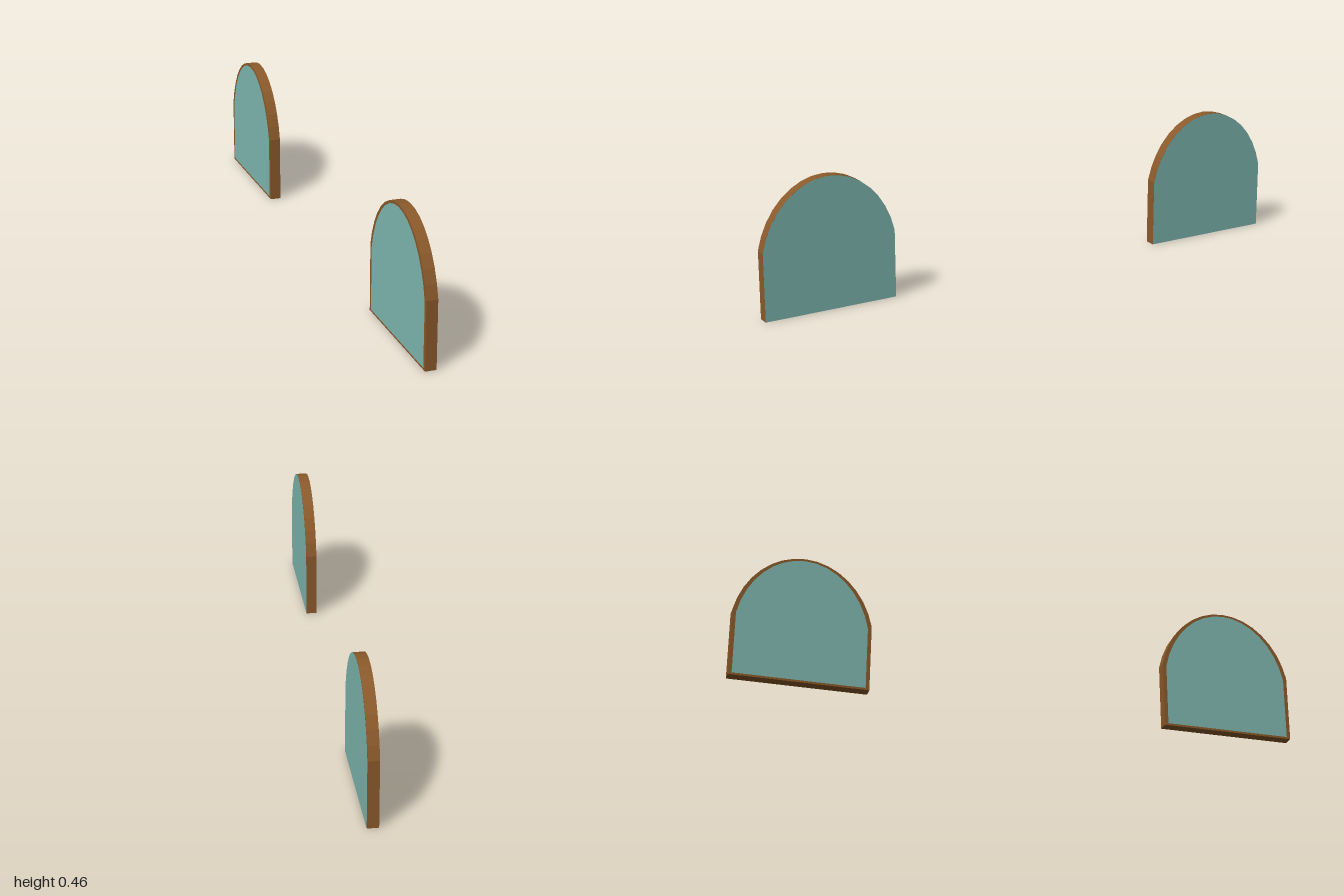
import * as THREE from 'three';

const HALF = 0.237;       // half width of a board
const THICK = 0.038;      // board thickness
const SHOULDER = 0.235;   // height where the arch begins
const TOP = 0.459;

// Arched outline: straight sides with a slightly pointed elliptical top
function archShape(side = 0, bottom = 0, top = 0) {
  const half = HALF - side;
  const b = 0.3;
  const start = Math.asin((b - (TOP - SHOULDER)) / b);
  const a = half / Math.cos(start);
  const points = [new THREE.Vector2(-half, bottom), new THREE.Vector2(half, bottom)];
  const n = 16;
  for (let i = 0; i <= n; i++) {
    const t = start + (Math.PI - 2 * start) * i / n;
    points.push(new THREE.Vector2(a * Math.cos(t), TOP - top - b + b * Math.sin(t)));
  }
  return new THREE.Shape(points);
}

export function createModel() {
  const wood = new THREE.MeshStandardMaterial({ color: 0x8b5a2b });
  wood.name = 'brown wood';
  const teal = new THREE.MeshStandardMaterial({ color: 0x80b9b2 });
  teal.name = 'teal';

  // Wooden slab, extruded along x
  const slab = new THREE.ExtrudeGeometry(archShape(), { depth: THICK, bevelEnabled: false });
  slab.translate(0, 0, -THICK / 2);
  slab.rotateY(Math.PI / 2);

  // Full teal face on the left, slightly inset one on the right
  const leftFace = new THREE.ShapeGeometry(archShape());
  leftFace.rotateY(Math.PI / 2);
  leftFace.translate(THICK / 2 + 0.0006, 0, 0);
  const rightFace = new THREE.ShapeGeometry(archShape(0.013, 0.007, 0.008));
  rightFace.rotateY(-Math.PI / 2);
  rightFace.translate(-THICK / 2 - 0.0006, 0, 0);

  const model = new THREE.Group();
  model.name = 'archedBoards';
  for (const [name, z] of [['frontBoard', 1 - HALF], ['backBoard', HALF - 1]]) {
    const board = new THREE.Group();
    board.name = name;
    for (const [part, geometry, material] of [
      ['slab', slab, wood],
      ['leftPanel', leftFace, teal],
      ['rightPanel', rightFace, teal],
    ]) {
      const mesh = new THREE.Mesh(geometry, material);
      mesh.name = part;
      board.add(mesh);
    }
    board.position.z = z;
    model.add(board);
  }
  return model;
}
